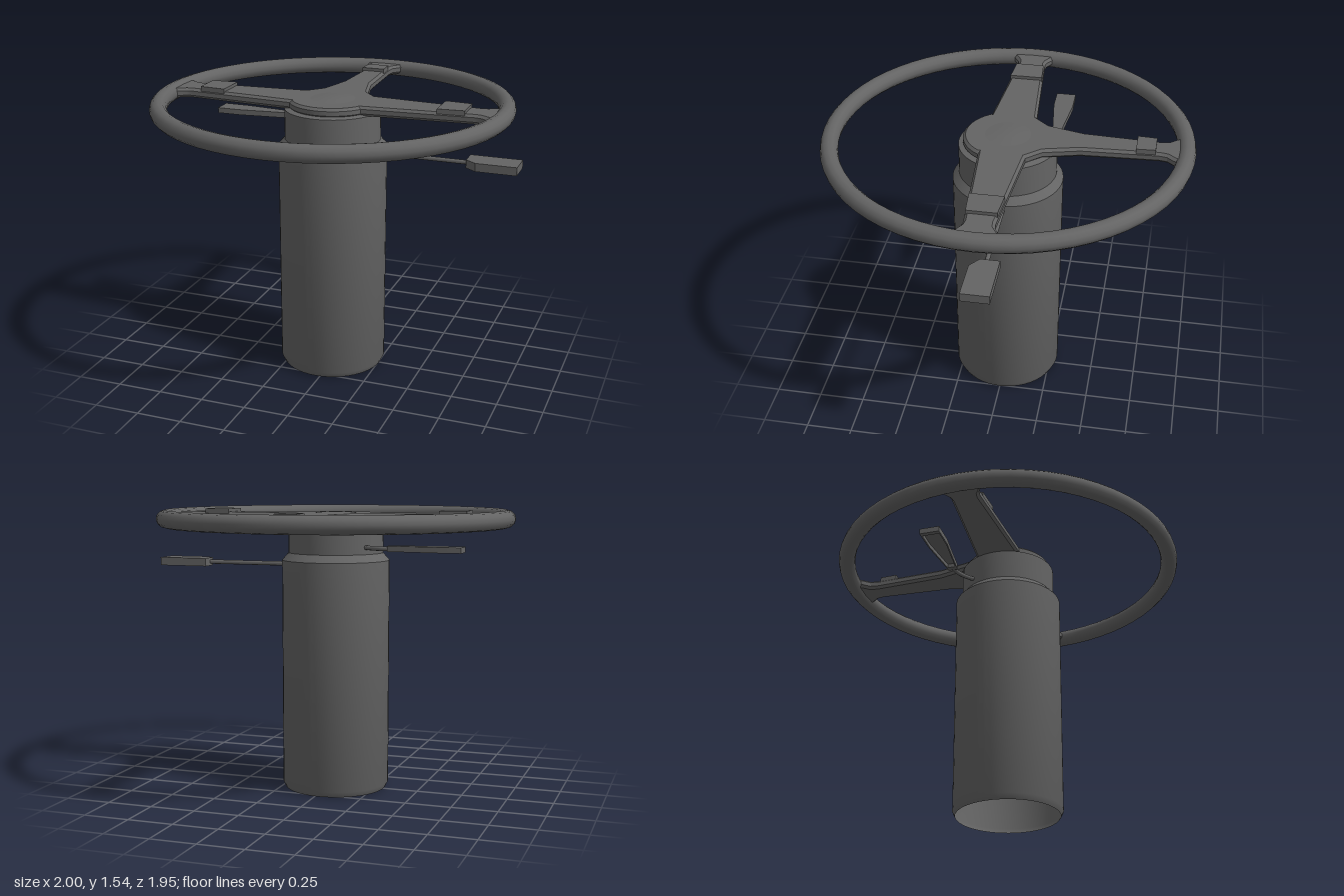
import * as THREE from 'three';
import { toCreasedNormals } from 'three/addons/utils/BufferGeometryUtils.js';

const material = new THREE.MeshStandardMaterial({ color: 0x646464, side: THREE.DoubleSide });

function part(name, geometry, parent) {
  const mesh = new THREE.Mesh(geometry, material);
  mesh.name = name;
  parent.add(mesh);
  return mesh;
}

const creased = (geometry) => toCreasedNormals(geometry, 0.5);

function lathe(profile, segments = 48) {
  return creased(new THREE.LatheGeometry(profile.map(([r, y]) => new THREE.Vector2(r, y)), segments));
}

// Shape in plan (x, -z) raised from y0 to y1, with optional chamfered edges
function slab(shape, y0, y1, bevel = 0) {
  const geometry = new THREE.ExtrudeGeometry(shape, {
    depth: y1 - y0 - 2 * bevel, curveSegments: 24, bevelEnabled: bevel > 0,
    bevelThickness: bevel, bevelSize: bevel, bevelOffset: -bevel, bevelSegments: 1,
  });
  return creased(geometry.rotateX(-Math.PI / 2).translate(0, y0 + bevel, 0));
}

// Outline of one spoke from [distance, half width] pairs, turned to its angle
function spokeOutline(profile, angle) {
  const mirrored = [...profile].reverse().map(([r, w]) => [r, -w]);
  return [...mirrored.reverse(), ...[...profile].reverse()]
    .map(([r, w]) => new THREE.Vector2(r, w).rotateAround(new THREE.Vector2(), angle));
}

// Flat paddle outline in (x, z), hollow below: a top plate over a thin wall
function paddle(name, outline, y0, y1, parent) {
  const group = new THREE.Group();
  group.name = name;
  const points = outline.map(([x, z]) => new THREE.Vector2(x, -z));
  const mid = points.reduce((s, p) => s.add(p), new THREE.Vector2()).divideScalar(points.length);
  const wall = new THREE.Shape(points);
  wall.holes.push(new THREE.Path(points.map((p) => p.clone().lerp(mid, 0.14))));
  const split = y1 - 0.008;
  part('paddleTop', slab(new THREE.Shape(points), split, y1), group);
  part('paddleWall', slab(wall, y0, split), group);
  parent.add(group);
}

function rod(name, points, radius, parent) {
  const curve = new THREE.CatmullRomCurve3(points.map((p) => new THREE.Vector3(...p)));
  part(name, new THREE.TubeGeometry(curve, 16, radius, 8), parent);
}

export function createModel() {
  const model = new THREE.Group();
  model.name = 'steeringColumn';

  // Column and wheel share one axis
  const axis = new THREE.Group();
  axis.name = 'columnAndWheel';
  axis.position.x = -0.025;
  model.add(axis);

  // Open-bottomed column with chamfered ends
  part('column', lathe([[0.28, 0], [0.295, 0.03], [0.295, 1.27], [0.26, 1.31]]), axis);
  part('neck', lathe([[0.26, 1.305], [0.26, 1.475], [0.22, 1.485]]), axis);

  // Rim
  const rim = part('rim', new THREE.TorusGeometry(0.928, 0.047, 12, 64).rotateX(Math.PI / 2), axis);
  rim.position.y = 1.498;

  // Hub and three spokes in one piece, with a round front edge
  const side = [[0.2, 0.122], [0.8, 0.077], [0.83, 0.082], [0.87, 0.107], [0.91, 0.12]];
  const back = [[0.2, 0.13], [0.39, 0.082], [0.79, 0.063], [0.83, 0.07], [0.865, 0.1], [0.91, 0.115]];
  const hub = new THREE.Shape([
    ...spokeOutline(side, 0), ...spokeOutline(back, Math.PI / 2), ...spokeOutline(side, Math.PI),
  ]);
  hub.absarc(0, 0, 0.235, Math.PI + 0.55, 2 * Math.PI - 0.55, false);
  part('hubAndSpokes', slab(hub, 1.475, 1.527, 0.014), axis);

  // Slight dome in the middle of the hub
  part('hubDome', lathe([[0.13, 1.526], [0.09, 1.53], [0.05, 1.534], [0, 1.535]]), axis);

  // Raised pad on each spoke
  const sidePad = [[0.6, 0.088], [0.745, 0.077]];
  const backPad = [[0.67, 0.065], [0.77, 0.06]];
  part('leftPad', slab(new THREE.Shape(spokeOutline(sidePad, 0)), 1.5, 1.544), axis);
  part('backPad', slab(new THREE.Shape(spokeOutline(backPad, Math.PI / 2)), 1.5, 1.544), axis);
  part('rightPad', slab(new THREE.Shape(spokeOutline(sidePad, Math.PI)), 1.5, 1.544), axis);

  // Left stalk: straight rod and square paddle
  rod('leftStalk', [[0.24, 1.242, -0.02], [0.73, 1.242, -0.02]], 0.012, model);
  paddle('leftPaddle',
    [[0.72, -0.09], [1, -0.09], [1, 0.055], [0.78, 0.055], [0.72, 0.01]], 1.22, 1.265, model);

  // Right stalk: curved rod and tapered paddle
  rod('rightStalk',
    [[-0.22, 1.348, -0.12], [-0.27, 1.348, -0.168], [-0.33, 1.348, -0.202], [-0.4, 1.348, -0.212]], 0.012, model);
  paddle('rightPaddle',
    [[-0.785, -0.265], [-0.65, -0.265], [-0.385, -0.237], [-0.385, -0.187], [-0.65, -0.157], [-0.785, -0.157]],
    1.335, 1.365, model);

  return model;
}
